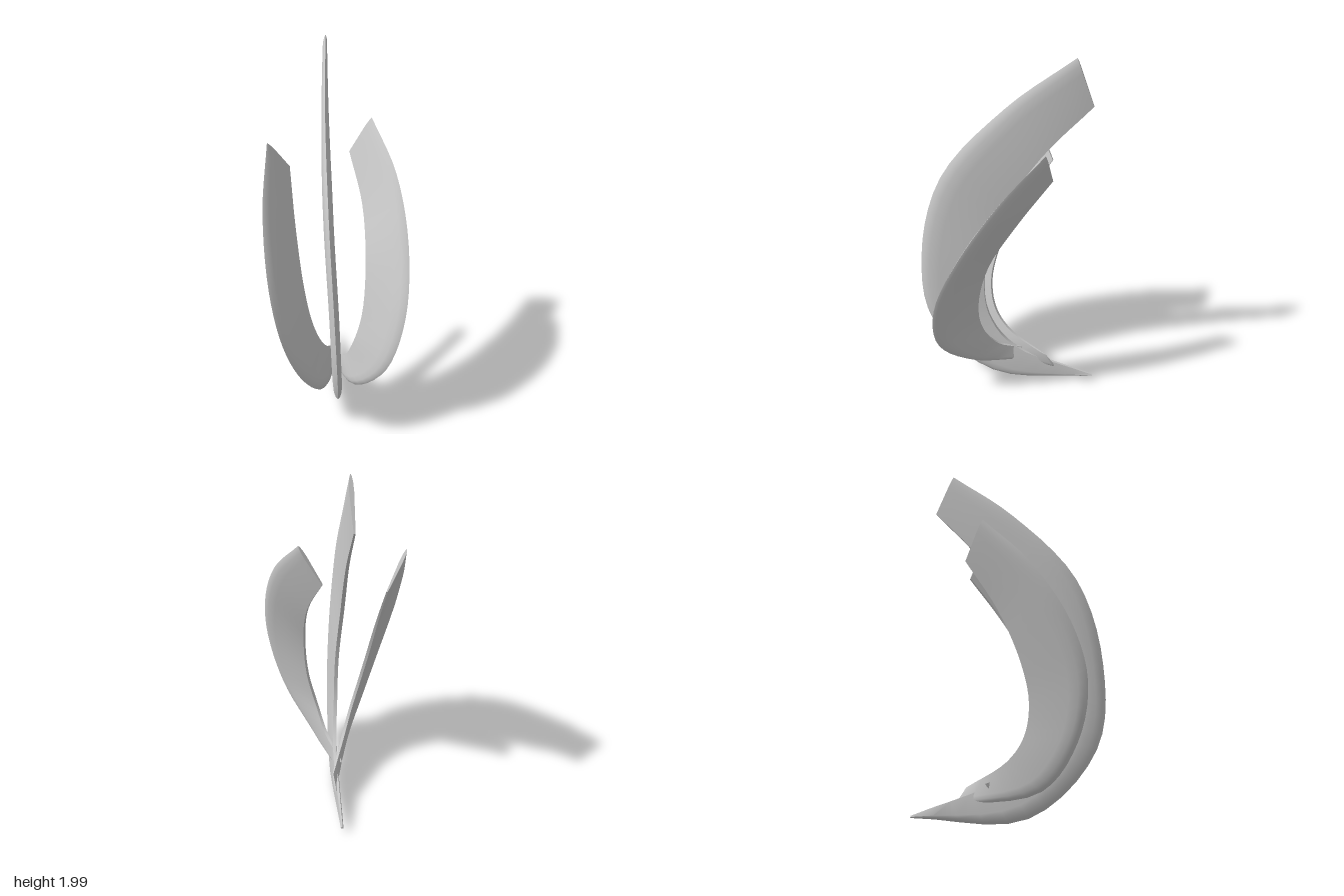
import * as THREE from 'three';
import { toCreasedNormals } from 'three/addons/utils/BufferGeometryUtils.js';

// Blade cross-section: [position from back edge (0) to inner edge (1), half thickness]
const SECTION = [[0, 0], [0.05, 0.5], [0.14, 0.85], [0.3, 1], [1, 0.4]];
const LOOP = [...SECTION, ...SECTION.slice(1).reverse().map(([u, h]) => [u, -h])];
const STEPS = 30;

const curve = (pts) => new THREE.CatmullRomCurve3(pts.map((p) => new THREE.Vector3(...p)), false, 'centripetal');

// Lofts the section between a back edge and an inner edge, both running tip to root.
function bladeGeometry(back, inner, thickness) {
  const a = curve(back), b = curve(inner);
  const pos = [], idx = [], n = LOOP.length;
  for (let i = 0; i <= STEPS; i++) {
    const t = i / STEPS;
    const p = a.getPoint(t), q = b.getPoint(t);
    const across = q.clone().sub(p);
    const along = a.getTangent(t).add(b.getTangent(t));
    const normal = new THREE.Vector3().crossVectors(across, along).normalize();
    // thinner toward the tip and the root
    const h = thickness * Math.min(1, 0.45 + 2 * t, 0.3 + 5 * (1 - t));
    for (const [u, k] of LOOP) {
      const v = p.clone().addScaledVector(across, u).addScaledVector(normal, k * h);
      pos.push(v.x, v.y, v.z);
    }
  }
  for (let i = 0; i < STEPS; i++) {
    for (let j = 0; j < n; j++) {
      const c = i * n + j, d = i * n + (j + 1) % n;
      idx.push(c, d, c + n, d, d + n, c + n);
    }
  }
  // end caps
  const last = STEPS * n;
  for (let j = 1; j < n - 1; j++) {
    idx.push(0, j + 1, j);
    idx.push(last, last + j, last + j + 1);
  }
  const g = new THREE.BufferGeometry();
  g.setAttribute('position', new THREE.Float32BufferAttribute(pos, 3));
  g.setIndex(idx);
  return toCreasedNormals(g, 0.75);
}

export function createModel() {
  const model = new THREE.Group();
  model.name = 'threeBlades';
  const material = new THREE.MeshStandardMaterial({ color: 0xcccccc, side: THREE.DoubleSide });
  const addBlade = (name, thickness, back, inner) => {
    const mesh = new THREE.Mesh(bladeGeometry(back, inner, thickness), material);
    mesh.name = name;
    model.add(mesh);
  };

  // tall centre blade, its root running back into a pointed tail
  addBlade('centreBlade', 0.025,
    [[-0.03, 2, -0.31], [-0.05, 1.71, 0.03], [-0.05, 1.29, 0.37], [-0.03, 0.8, 0.49],
      [-0.01, 0.36, 0.44], [0.01, 0.03, 0.1], [0.02, 0.05, -0.48]],
    [[-0.04, 1.75, -0.4], [-0.04, 1.45, -0.15], [-0.04, 1.08, 0.06], [-0.02, 0.72, 0.14],
      [-0.01, 0.44, 0.12], [0.01, 0.24, -0.02], [0.02, 0.06, -0.48]]);

  // side blades, curling outward and crossing at the root
  addBlade('leftBlade', 0.02,
    [[0.2, 1.6, -0.19], [0.31, 1.38, 0.02], [0.36, 1.07, 0.22], [0.34, 0.72, 0.36],
      [0.25, 0.4, 0.36], [0.1, 0.18, 0.2], [0.01, 0.13, -0.06]],
    [[0.09, 1.4, -0.22], [0.15, 1.17, -0.05], [0.16, 0.9, 0.1], [0.14, 0.62, 0.16],
      [0.09, 0.41, 0.14], [0.05, 0.28, 0.06], [-0.02, 0.2, -0.11]]);

  addBlade('rightBlade', 0.02,
    [[-0.34, 1.51, -0.1], [-0.37, 1.24, 0.14], [-0.35, 0.9, 0.34], [-0.29, 0.61, 0.41],
      [-0.19, 0.34, 0.35], [-0.07, 0.14, 0.17], [0.03, 0.11, -0.26]],
    [[-0.23, 1.33, -0.2], [-0.21, 1.05, -0.03], [-0.18, 0.78, 0.08], [-0.14, 0.57, 0.12],
      [-0.09, 0.41, 0.09], [-0.04, 0.3, 0], [0.04, 0.2, -0.21]]);
  return model;
}
